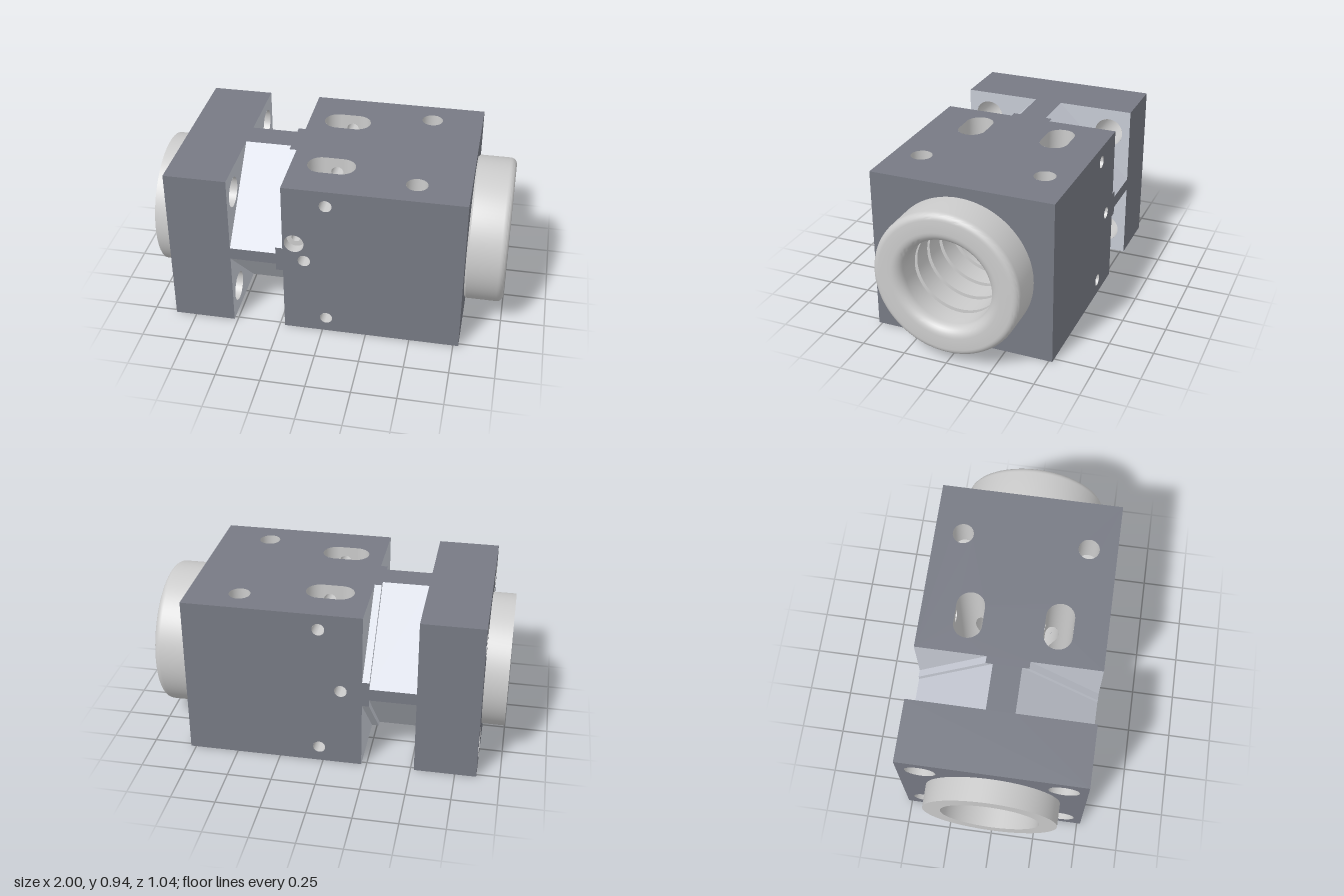
import * as THREE from 'three';
import { toCreasedNormals } from 'three/addons/utils/BufferGeometryUtils.js';

const X0 = -0.87, X1 = 0.78, H = 0.94, CY = 0.47, Z = 0.52; // block limits and bore height
const R = 0.25;                                             // bore radius at the slots
const SLOT = { x: 0.005, z: 0.25, half: 0.055, r: 0.08 };
const PIN = { x: 0.022, r: 0.035, ys: [0.09, 0.85] };

const mat = (color) => new THREE.MeshStandardMaterial({ color, side: THREE.DoubleSide });

export function createModel() {
  const model = new THREE.Group();
  const body = mat(0x777a84), cut = mat(0xc6cad4), metal = mat(0xcccccc);

  const add = (name, geometry, material) => {
    const mesh = new THREE.Mesh(geometry, material);
    mesh.name = name;
    model.add(mesh);
    return mesh;
  };

  // Flat face: a 2D outline with holes, mapped into space
  const panel = (name, material, outline, holes, map) => {
    const shape = new THREE.Shape(outline.map(([u, v]) => new THREE.Vector2(u, v)));
    shape.holes = holes;
    const g = new THREE.ShapeGeometry(shape, 32);
    const p = g.attributes.position;
    for (let i = 0; i < p.count; i++) p.setXYZ(i, ...map(p.getX(i), p.getY(i)));
    g.computeVertexNormals();
    add(name, g, material);
  };
  const circle = (u, v, r) => new THREE.Path().absarc(u, v, r, 0, Math.PI * 2, true);

  // Ruled strip between two lines of points
  const ruled = (name, material, a, b) => {
    const index = [];
    for (let i = 0; i + 1 < a.length; i++) {
      const j = 2 * i;
      index.push(j, j + 1, j + 2, j + 2, j + 1, j + 3);
    }
    const g = new THREE.BufferGeometry();
    g.setAttribute('position', new THREE.Float32BufferAttribute(a.flatMap((p, i) => [...p, ...b[i]]), 3));
    g.setIndex(index);
    g.computeVertexNormals();
    add(name, g, material);
  };

  // Turned surface: [radius, distance] profile along an axis
  const turned = (name, profile, axis, pos, sides = 32) => {
    const g = new THREE.LatheGeometry(profile.map(([r, t]) => new THREE.Vector2(r, t)), sides);
    if (axis === 'x') g.rotateZ(-Math.PI / 2);
    if (axis === 'z') g.rotateX(Math.PI / 2);
    add(name, toCreasedNormals(g, 0.5), metal).position.set(...pos);
  };

  // Outline of a long side with the two stepped notches; a, b are their half heights
  const notched = (c, h, a, b) => [
    [X0, c - h], [-0.52, c - h], [-0.52, c - a], [-0.26, c - a], [-0.26, c - b], [-0.22, c - b], [-0.22, c - h], [X1, c - h],
    [X1, c + h], [-0.22, c + h], [-0.22, c + b], [-0.26, c + b], [-0.26, c + a], [-0.52, c + a], [-0.52, c + h], [X0, c + h],
  ];

  // Front and back sides
  for (const s of [1, -1]) {
    const holes = PIN.ys.map((y) => circle(PIN.x, y, PIN.r));
    holes.push(circle(-0.1, 0.475, 0.035));
    if (s > 0) holes.push(circle(-0.155, 0.585, 0.055));
    panel(s > 0 ? 'frontSide' : 'backSide', body, notched(CY, CY, 0.035, 0.075), holes, (x, y) => [x, y, s * Z]);
    turned('sideBlindHole', [[0, s * 0.37], [0.035, s * 0.37], [0.035, s * Z]], 'z', [-0.1, 0.475, 0]);
  }
  turned('counterboredHole', [[0, 0.33], [0.025, 0.33], [0.025, 0.46], [0.055, 0.46], [0.055, Z]], 'z', [-0.155, 0.585, 0]);

  // Top and bottom sides
  for (const y of [H, 0]) {
    const holes = [];
    for (const s of [1, -1]) {
      const { x, z, half, r } = SLOT, slot = new THREE.Path();
      slot.absarc(x + half, s * z, r, -Math.PI / 2, Math.PI / 2);
      slot.absarc(x - half, s * z, r, Math.PI / 2, Math.PI * 1.5);
      slot.closePath();
      holes.push(slot, circle(0.49, s * 0.358, 0.06));
      const d = y ? -0.2 : 0.2;
      turned('blindHole', [[0, d], [0.06, d], [0.06, 0]], 'y', [0.49, y, s * 0.358]);
    }
    panel(y ? 'topSide' : 'bottomSide', body, notched(0, Z, 0.08, 0.12), holes, (x, z) => [x, y, z]);
  }

  // End faces
  const endOutline = [[-Z, 0], [Z, 0], [Z, H], [-Z, H]];
  const bolts = [];
  for (const sy of [1, -1]) for (const sz of [1, -1]) bolts.push([sz * 0.39, CY + sy * 0.325, sy, sz]);
  panel('rightEnd', body, endOutline, [circle(0, CY, 0.3)], (z, y) => [X1, y, z]);
  panel('leftEnd', body, endOutline, [circle(0, CY, 0.3), ...bolts.map(([z, y]) => circle(z, y, 0.085))], (z, y) => [X0, y, z]);

  // Corner notches behind the flange, each with a bolt hole
  for (const [bz, by, sy, sz] of bolts) {
    const corner = (h, w) => [[sz * Z, CY + sy * h], [sz * w, CY + sy * CY]];
    const A = corner(0.035, 0.08), B = corner(0.075, 0.12), tip = [sz * Z, CY + sy * CY];
    const at = (line, x) => line.map(([z, y]) => [x, y, z]);
    panel('flangeInnerFace', cut, [...A, tip], [circle(bz, by, 0.085)], (z, y) => [-0.52, y, z]);
    ruled('notchSlope', cut, at(A, -0.52), at(A, -0.26));
    ruled('notchStep', cut, at(A, -0.26), at(B, -0.26));
    ruled('notchUpperSlope', cut, at(B, -0.26), at(B, -0.22));
    panel('blockInnerFace', cut, [...B, tip], [], (z, y) => [-0.22, y, z]);
    turned('boltHole', [[0.085, X0], [0.085, -0.52]], 'x', [0, by, bz]);
  }

  // Slot walls, trimmed where they run into the bore
  const boreY = (z) => (Math.abs(z) < R ? Math.sqrt(R * R - z * z) : 0);
  for (const sz of [1, -1]) for (const sy of [1, -1]) {
    for (const sx of [1, -1]) {
      const outer = [], inner = [];
      for (let i = 0; i <= 24; i++) {
        const a = -Math.PI / 2 + (Math.PI * i) / 24;
        const x = SLOT.x + sx * (SLOT.half + SLOT.r * Math.cos(a));
        const z = SLOT.z + SLOT.r * Math.sin(a);
        outer.push([x, CY + sy * CY, sz * z]);
        inner.push([x, CY + sy * boreY(z), sz * z]);
      }
      ruled('slotEnd', metal, outer, inner);
    }
    for (const z of [SLOT.z - SLOT.r, SLOT.z + SLOT.r]) {
      const l = SLOT.x - SLOT.half, r = SLOT.x + SLOT.half, y0 = CY + sy * boreY(z), y1 = CY + sy * CY;
      panel('slotSide', metal, [[l, y0], [r, y0], [r, y1], [l, y1]],
        [circle(PIN.x, PIN.ys[sy > 0 ? 1 : 0], PIN.r)], (x, y) => [x, y, sz * z]);
    }
  }

  // Cross pin holes, broken by the slots
  for (const y of PIN.ys) for (const [a, b] of [[-Z, -0.33], [-0.17, 0.17], [0.33, Z]])
    turned('pinHole', [[PIN.r, a], [PIN.r, b]], 'z', [PIN.x, y, 0]);

  // Middle of the bore with windows into the slots
  const slotHalf = (z) => {
    const d = Math.abs(z) - SLOT.z;
    return Math.abs(d) > SLOT.r ? 0 : SLOT.half + Math.sqrt(SLOT.r ** 2 - d * d);
  };
  for (const s of [1, -1]) {
    const edge = [], rim = [];
    for (let i = 0; i <= 192; i++) {
      const a = (i / 192) * Math.PI * 2, y = CY + R * Math.sin(a), z = R * Math.cos(a);
      edge.push([s * 0.2, y, z]);
      rim.push([SLOT.x + s * slotHalf(z), y, z]);
    }
    ruled('boreMiddle', metal, edge, rim);
  }

  // Left collar and its stepped bore
  turned('leftCollar', [[0.38, X0], [0.38, -1], [0.28, -1], [0.28, -0.85], [0.25, -0.82], [0.25, -0.6],
    [0.22, -0.6], [0.22, -0.35], [R, -0.25], [R, -0.2]], 'x', [0, CY, 0], 96);

  // Right collar: ring grooves inside, rounded mouth and rim
  const right = [[R, 0.2]];
  for (const x of [0.35, 0.5, 0.65, 0.8]) right.push([R, x], [0.27, x], [0.27, x + 0.03], [R, x + 0.03]);
  for (let i = 0; i <= 8; i++) {
    const a = (i / 8) * Math.PI / 2;
    right.push([0.31 - 0.06 * Math.cos(a), 0.94 + 0.06 * Math.sin(a)]);
  }
  for (let i = 0; i <= 6; i++) {
    const a = (i / 6) * Math.PI / 2;
    right.push([0.378 + 0.037 * Math.sin(a), 0.963 + 0.037 * Math.cos(a)]);
  }
  right.push([0.415, 0.79], [0.405, X1]);
  turned('rightCollar', right, 'x', [0, CY, 0], 96);

  return model;
}
